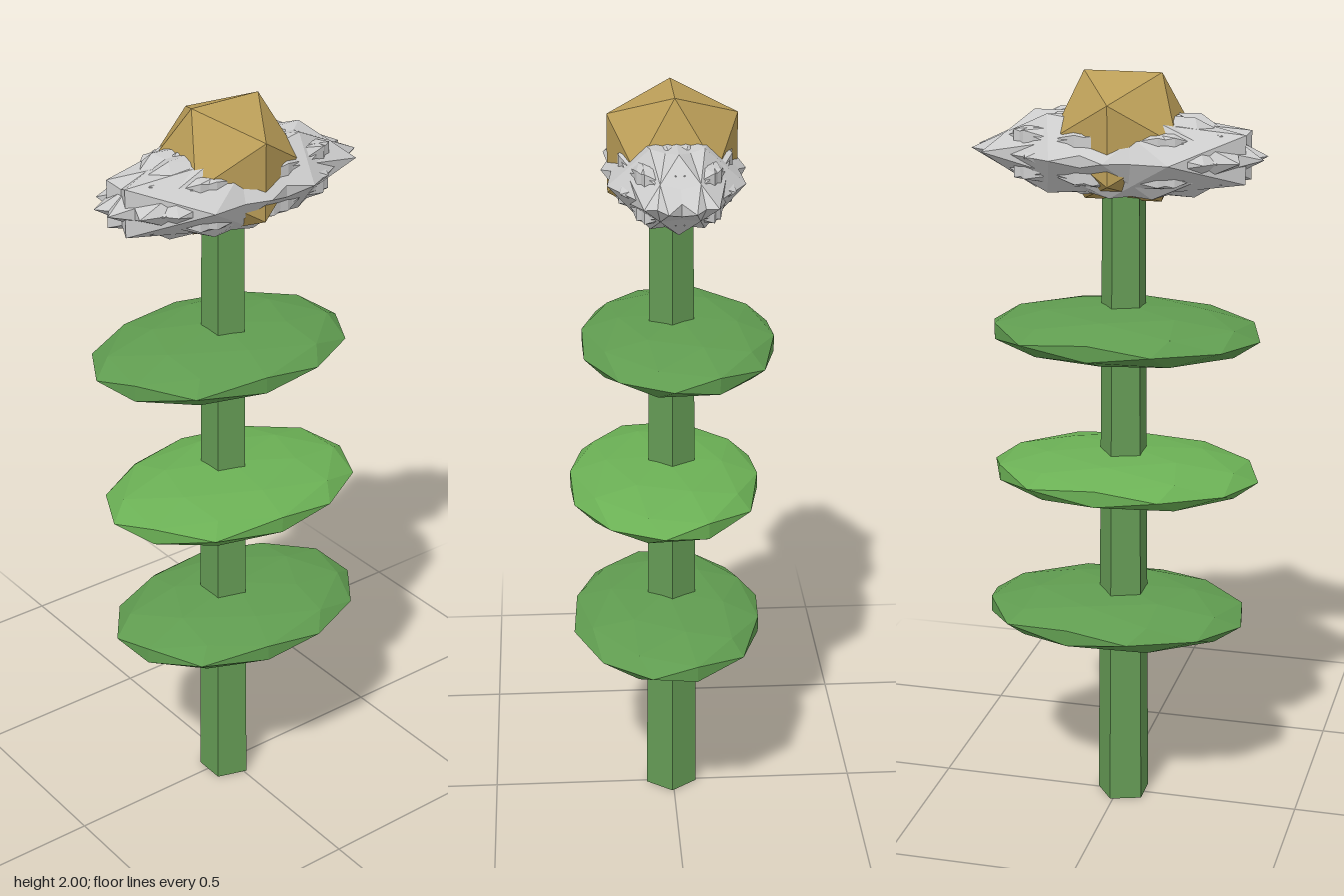
import * as THREE from 'three';

const mat = (color) => new THREE.MeshStandardMaterial({ color, flatShading: true });

// Faceted ball turned about y first, then squashed into an ellipsoid
function facetedBall(name, material, detail, turn, scale, position) {
  const geometry = new THREE.IcosahedronGeometry(1, detail);
  geometry.rotateY(-THREE.MathUtils.degToRad(turn));
  geometry.scale(...scale);
  const mesh = new THREE.Mesh(geometry, material);
  mesh.name = name;
  mesh.position.set(...position);
  return mesh;
}

export function createModel() {
  const model = new THREE.Group();
  model.name = 'flower';

  // Five-sided tapering stem with one edge towards +x
  const stem = new THREE.Mesh(
    new THREE.CylinderGeometry(0.058, 0.073, 1.78, 5, 1, false, Math.PI / 2),
    mat(0x649a54)
  );
  stem.name = 'stem';
  stem.position.set(-0.015, 0.89, 0.005);
  model.add(stem);

  // Three flat oval leaves
  const leaves = [
    { at: [0.01, 0.543, 0.018], turn: 44, color: 0x609c50 },
    { at: [-0.012, 0.937, 0.025], turn: 35, color: 0x6bb055 },
    { at: [-0.02, 1.333, -0.012], turn: 38, color: 0x609c50 },
  ];
  leaves.forEach(({ at, turn, color }, i) => {
    model.add(facetedBall(`leaf${i + 1}`, mat(color), 1, turn, [0.365, 0.07, 0.262], at));
  });

  // Spiky petal ring: overlapping squashed icosahedra, turned step by step
  const petals = new THREE.Group();
  petals.name = 'petals';
  petals.position.y = 1.797;
  const petalMaterial = mat(0xcccccc);
  const count = 9;
  for (let i = 0; i < count; i++) {
    const turn = (i * 360) / count;
    const a = THREE.MathUtils.degToRad(turn);
    // the two crosswise petals lean out to the right, making a blunt end
    const shift = Math.abs(Math.cos(a)) < 0.2 ? -0.04 : 0;
    petals.add(facetedBall(`petal${i + 1}`, petalMaterial, 0, turn, [0.36, 0.118, 0.17],
      [0.03 * Math.cos(a) + shift, 0, 0.014 * Math.sin(a)]));
  }
  model.add(petals);

  // Flower centre
  model.add(facetedBall('flowerCentre', mat(0xbb9e58), 0, 0, [0.192, 0.192, 0.192], [-0.012, 1.837, 0.002]));

  return model;
}
